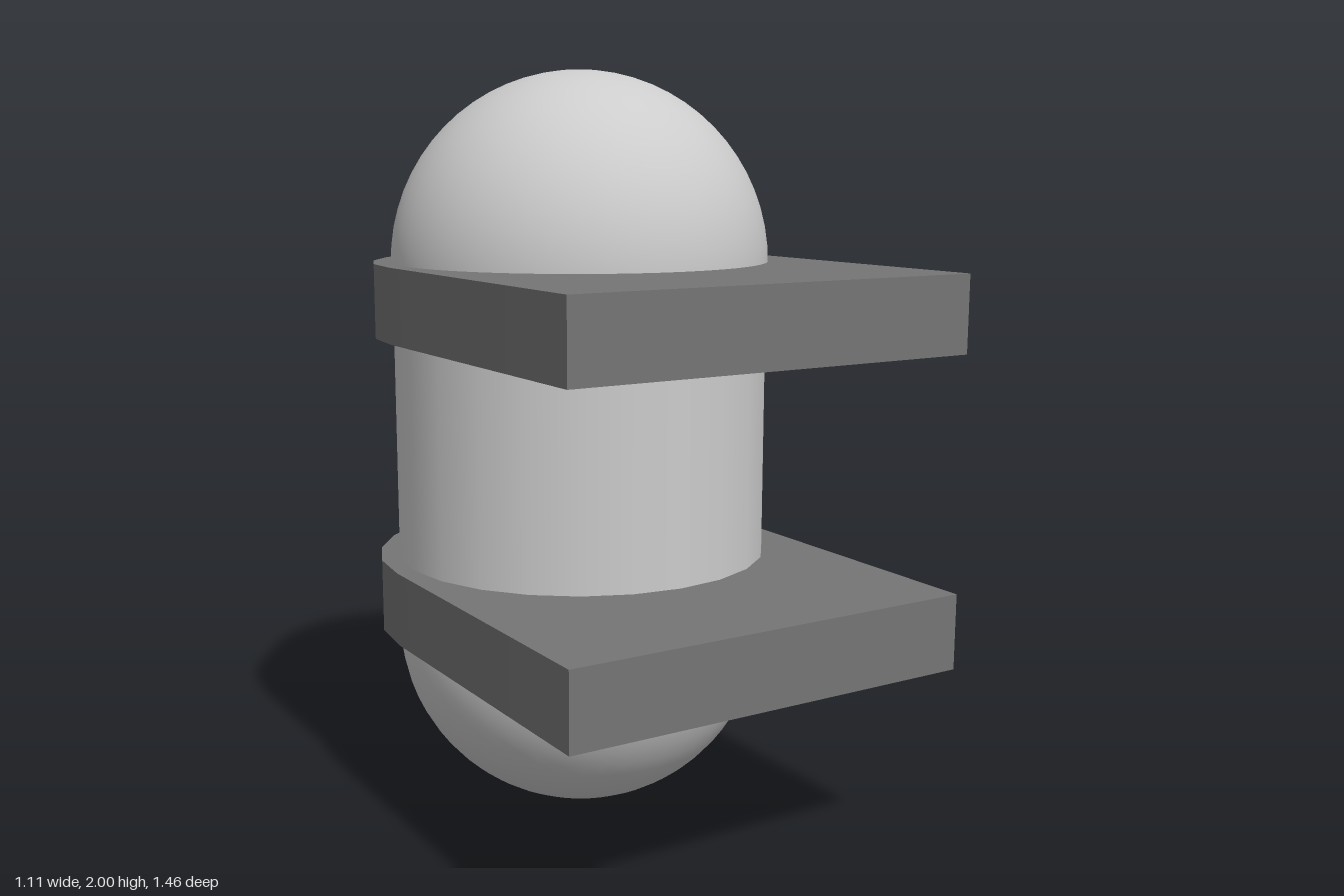
import * as THREE from 'three';
import { toCreasedNormals } from 'three/addons/utils/BufferGeometryUtils.js';

const material = (name, color, side = THREE.FrontSide) => {
  const m = new THREE.MeshStandardMaterial({ color, side });
  m.name = name;
  return m;
};

export function createModel() {
  const model = new THREE.Group();
  model.name = 'tankWithBrackets';
  const lightGrey = material('light grey', 0xcccccc);
  const panelGrey = material('panel grey', 0xc6c6c4, THREE.DoubleSide);
  const darkGrey = material('dark grey', 0x757575);

  const R = 0.505, axisZ = -0.175, sides = 24;
  const add = (name, geometry, mat, y, z = axisZ) => {
    const mesh = new THREE.Mesh(geometry, mat);
    mesh.name = name;
    mesh.position.set(0, y, z);
    model.add(mesh);
    return mesh;
  };

  // Tank: straight wall with a hemisphere at each end
  add('tankWall', new THREE.CylinderGeometry(R, R, 2 - 2 * R, sides, 1, true), lightGrey, 1);
  const dome = new THREE.SphereGeometry(R, 48, 16, 0, Math.PI * 2, 0, Math.PI / 2);
  add('topDome', dome, lightGrey, 2 - R);
  add('bottomDome', dome, lightGrey, R).rotation.x = Math.PI;

  // Curved label panel on the back of the wall
  add('backPanel', new THREE.CylinderGeometry(R + 0.004, R + 0.004, 0.505, 4, 1, true,
    Math.PI * 5 / 6, Math.PI / 3), panelGrey, 1.003);

  // Mounting brackets: square at the front, rounded around the tank at the back
  const half = 0.555, thickness = 0.195;
  const outline = new THREE.Shape();
  outline.moveTo(-half, -0.73);
  outline.lineTo(half, -0.73);
  for (let i = 0; i <= 12; i++) {
    const a = i * Math.PI / 12;
    outline.lineTo(half * Math.cos(a), -axisZ + half * Math.sin(a));
  }
  outline.closePath();
  const bracket = new THREE.ExtrudeGeometry(outline, { depth: thickness, bevelEnabled: false });
  bracket.rotateX(-Math.PI / 2);
  const smoothBracket = toCreasedNormals(bracket, 0.5);
  add('upperBracket', smoothBracket, darkGrey, 1.305, 0);
  add('lowerBracket', smoothBracket, darkGrey, 0.51, 0);

  return model;
}
